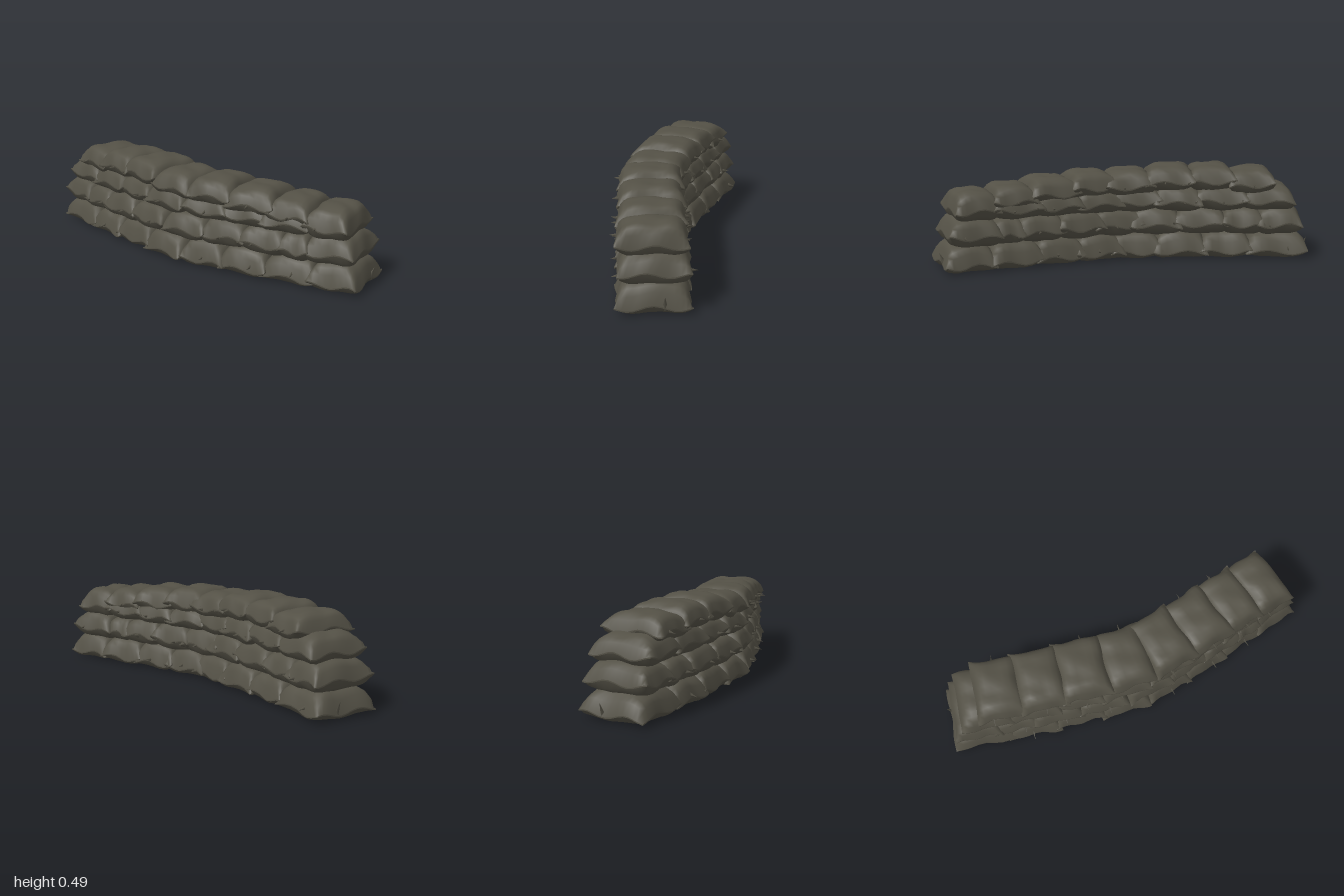
import * as THREE from 'three';

// Wall centre line: a shallow bend in plan
const lineX = z => -0.12 + 0.2 * Math.sqrt(z * z + 0.03);
const lineYaw = z => Math.atan(0.2 * z / Math.sqrt(z * z + 0.03));

// Seam positions from front to back, lower and upper level of each course
const courses = [
  { name: 'bottomBag', half: 0.176, seams: [0.965, 0.73, 0.49, 0.27, 0.05, -0.18, -0.42, -0.66, -0.965],
    base: 0.005, top: [0.145, 0.145, 0.15, 0.15, 0.145, 0.15, 0.145, 0.145] },
  { name: 'lowerBag', half: 0.172, seams: [0.945, 0.7, 0.58, 0.37, 0.16, -0.06, -0.29, -0.53, -0.72, -0.94],
    base: 0.125, top: [0.275, 0.26, 0.27, 0.275, 0.27, 0.27, 0.275, 0.265, 0.27] },
  { name: 'upperBag', half: 0.168, seams: [0.91, 0.7, 0.48, 0.27, 0.05, -0.18, -0.4, -0.64, -0.895],
    base: 0.25, top: [0.4, 0.375, 0.375, 0.37, 0.38, 0.38, 0.385, 0.385] },
  { name: 'topBag', half: 0.165, seams: [0.72, 0.51, 0.29, 0.08, -0.14, -0.36, -0.57, -0.8],
    base: 0.335, top: [0.42, 0.443, 0.462, 0.462, 0.485, 0.485, 0.468] },
];

function seeded(seed) {
  let s = seed;
  return () => (s = (s * 16807) % 2147483647) / 2147483647;
}

// Pillow: a box whose faces puff out from a low, pinched seam
function bagGeometry(half, length, height, grounded, rand) {
  const geo = new THREE.BoxGeometry(2, 2, 2, 14, 1, 10);
  const pos = geo.attributes.position;
  const p1 = rand() * 6, p2 = rand() * 6, p3 = rand() * 6;
  const spread = t => 0.45 * t + 0.55 * Math.sin(t * Math.PI / 2);
  const seamY = height * (grounded ? 0.23 : 0.36);
  for (let i = 0; i < pos.count; i++) {
    const u = spread(pos.getX(i)), v = spread(pos.getZ(i)), up = pos.getY(i) > 0;
    const puff = Math.pow(Math.max(0, 1 - Math.abs(u) ** 5), 0.6) * Math.pow(Math.max(0, 1 - Math.abs(v) ** 4), 0.55);
    const wrinkle = 1 + 0.05 * Math.sin(u * 7 + v * 2 + p1) + 0.04 * Math.sin(v * 6 - u * 3 + p2);
    const edge = Math.max(Math.abs(u), Math.abs(v)) ** 6;
    // Seam waves up and down, and its sides draw in between the corners
    const seam = seamY + 0.012 * edge * Math.sin(u * 5 + v * 4 + p3);
    const y = up ? seam + 0.003 + (height - seamY) * puff * Math.min(wrinkle, 1.03)
      : seam - 0.003 - seamY * puff * (grounded ? 1 : wrinkle);
    const drawX = 1 - 0.05 * (1 - v * v) + 0.025 * edge * Math.sin(v * 6 + p1);
    const drawZ = 1 - 0.03 * (1 - u * u) + 0.02 * edge * Math.sin(u * 5 + p2);
    pos.setXYZ(i, u * half * drawX, Math.max(y, 0), v * length * drawZ);
  }
  geo.computeVertexNormals();
  return geo;
}

export function createModel() {
  const wall = new THREE.Group();
  wall.name = 'sandbagWall';
  const cloth = new THREE.MeshStandardMaterial({ color: 0x56534a });
  cloth.name = 'olive sackcloth';
  cloth.color.set(0x545146);
  cloth.side = THREE.DoubleSide;
  const rand = seeded(4711);

  courses.forEach((course, row) => {
    course.top.forEach((top, i) => {
      const front = course.seams[i], back = course.seams[i + 1];
      const z = (front + back) / 2, length = (front - back) / 2;
      const first = i === 0, last = i === course.top.length - 1;
      // Neighbours squeeze into each other; the wall ends stay on their line
      const overlap = 0.022;
      const shift = (first ? -overlap / 2 : 0) + (last ? overlap / 2 : 0);
      const size = length + (first || last ? overlap / 2 : overlap);
      const base = row === 3 ? top - 0.13 : course.base;
      const bag = new THREE.Group();
      bag.name = course.name + (i + 1);
      const sack = new THREE.Mesh(bagGeometry(course.half, size, top - base, row === 0, rand), cloth);
      sack.name = 'sack';
      bag.add(sack);

      // Loose cloth tufts on the bag's short ends
      for (const side of [-1, 1]) {
        if (rand() > 0.55) continue;
        const tuft = new THREE.Mesh(new THREE.ConeGeometry(0.013, 0.05, 4), cloth);
        tuft.name = 'clothTuft';
        tuft.scale.z = 0.5;
        tuft.position.set(side * course.half, (top - base) * 0.38, (rand() - 0.5) * length);
        tuft.rotation.z = -side * (1.3 + rand() * 0.5);
        bag.add(tuft);
      }
      // Folded ear of cloth at the foot of both wall ends
      if (row === 0 && (first || last)) {
        const ear = new THREE.Mesh(new THREE.ConeGeometry(0.014, 0.07, 4), cloth);
        ear.name = 'clothEar';
        ear.position.set(0.05, 0.06, (first ? 1 : -1) * (size - 0.005));
        ear.rotation.x = (first ? 1 : -1) * 0.4;
        bag.add(ear);
      }

      const tilt = row === 0 ? 0 : (rand() - 0.5) * 0.08;
      bag.position.set(lineX(z) + (rand() - 0.5) * 0.012, base, z + shift);
      bag.rotation.set(tilt, lineYaw(z) + (first || last ? 0 : (rand() - 0.5) * 0.05), 0);
      wall.add(bag);
    });
  });
  return wall;
}
